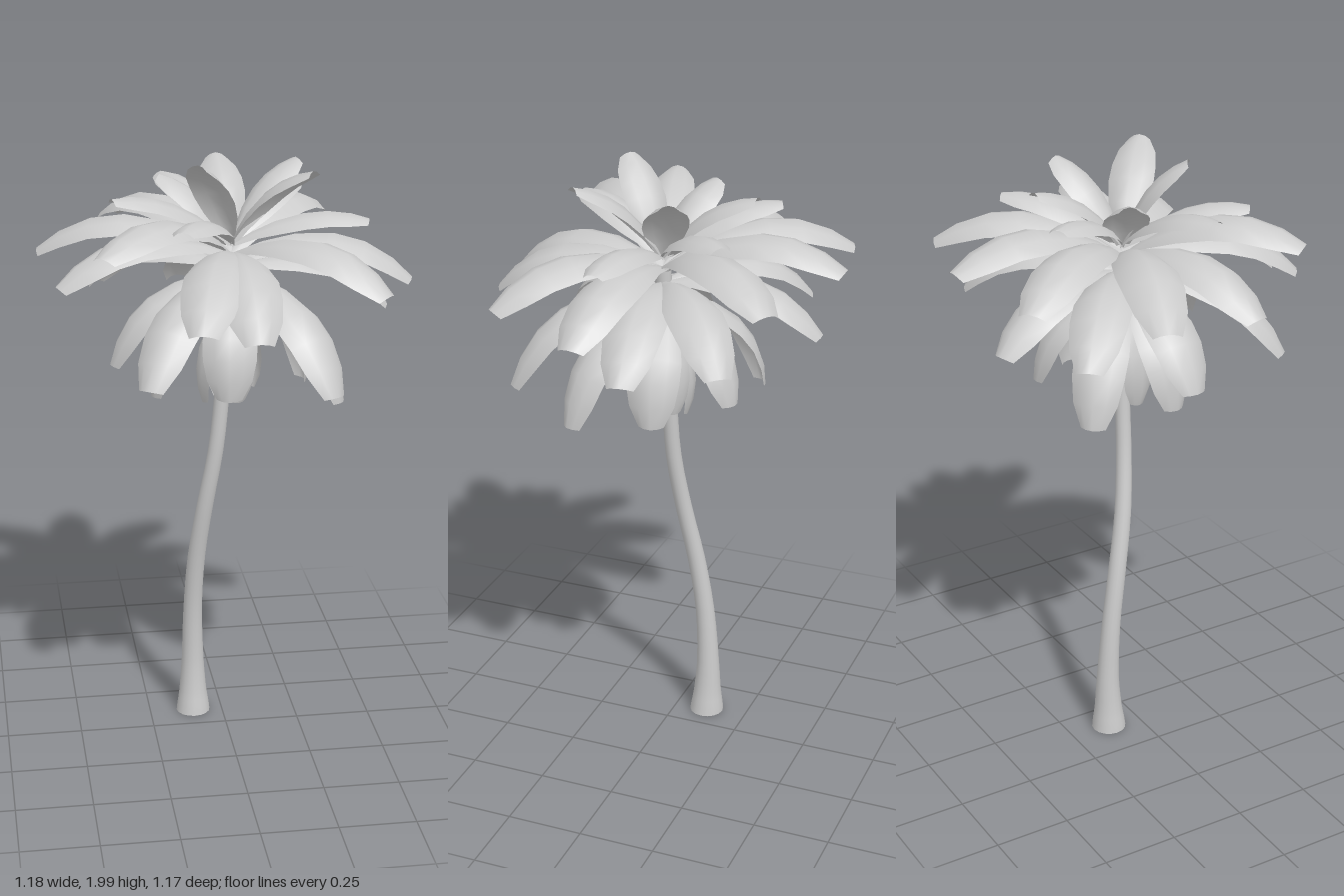
import * as THREE from 'three';

const material = new THREE.MeshStandardMaterial({ color: 0xcccccc, side: THREE.DoubleSide });

// Smooth surface through rows of points; closed rows wrap into a tube
function loft(rows, closed) {
  const n = rows[0].length;
  const index = [];
  for (let i = 0; i < rows.length - 1; i++) {
    for (let j = 0; j < (closed ? n : n - 1); j++) {
      const k = (j + 1) % n;
      const a = i * n + j, b = i * n + k, c = a + n, d = b + n;
      index.push(a, c, b, b, c, d);
    }
  }
  const geometry = new THREE.BufferGeometry().setFromPoints(rows.flat());
  geometry.setIndex(index);
  geometry.computeVertexNormals();
  return geometry;
}

// Leaning, S-curved hollow trunk with a flared foot: x, y, z and radius at each station
function makeTrunk() {
  const stations = [
    [-0.1, 0, -0.11, 0.058], [-0.1, 0.08, -0.112, 0.047], [-0.1, 0.2, -0.113, 0.038],
    [-0.1, 0.4, -0.1, 0.032], [-0.09, 0.6, -0.07, 0.03], [-0.065, 0.8, -0.033, 0.028],
    [-0.032, 1, -0.01, 0.026], [-0.012, 1.2, -0.004, 0.025], [0, 1.45, 0, 0.026],
    [0.015, 1.66, 0.01, 0.028],
  ];
  const sides = 16, steps = 27;
  const path = new THREE.CatmullRomCurve3(stations.map(([x, y, z]) => new THREE.Vector3(x, y, z)));
  const radii = new THREE.SplineCurve(stations.map((s, i) => new THREE.Vector2(i, s[3])));
  const rows = Array.from({ length: steps + 1 }, (_, i) => {
    const centre = path.getPoint(i / steps);
    const r = radii.getPoint(i / steps).y;
    return Array.from({ length: sides }, (_, j) => {
      const a = (j / sides) * Math.PI * 2;
      return centre.clone().add(new THREE.Vector3(r * Math.cos(a), 0, r * Math.sin(a)));
    });
  });
  const trunk = new THREE.Mesh(loft(rows, true), material);
  trunk.name = 'trunk';
  return trunk;
}

// Blade outline: position along the frond and share of the full width
const profile = [[0, 0.2], [0.14, 0.5], [0.3, 0.84], [0.5, 1], [0.68, 0.97], [0.86, 0.82], [1, 0.46]];

// Arched, blunt-tipped leaf blade bowed outward between the crown and its tip
function makeFrond([x, y, z], { start, bow, width }) {
  const from = new THREE.Vector3(0.015, start, 0.01);
  const tip = new THREE.Vector3(x, y, z);
  const chord = tip.clone().sub(from);
  const out = chord.clone().setY(0).normalize();
  const side = new THREE.Vector3(0, 1, 0).cross(out);
  const bend = from.clone().lerp(tip, 0.58).addScaledVector(chord.clone().cross(side), bow);
  const path = new THREE.QuadraticBezierCurve3(from, bend, tip);
  const rows = profile.map(([t, w]) => {
    const centre = path.getPoint(t);
    const up = path.getTangent(t).cross(side);
    const half = (w * width) / 2;
    return [-1, -0.55, 0, 0.55, 1].map((s) => centre.clone()
      .addScaledVector(side, s * half)
      .addScaledVector(up, -0.5 * half * s * s));
  });
  return new THREE.Mesh(loft(rows, false), material);
}

// Frond layers from the crown down, with the tip position of each frond
const layers = [
  { name: 'upperFrond', start: 1.7, bow: 0.25, width: 0.145, tips: [
    [0.01, 1.93, -0.3], [-0.17, 1.87, -0.32], [-0.2, 1.91, -0.09], [-0.37, 1.88, 0.11],
    [-0.11, 1.99, 0.17], [-0.18, 1.83, 0.36], [0.27, 1.85, -0.28], [0.24, 1.95, -0.1],
    [0.45, 1.78, 0.06], [0.24, 1.97, 0.21]] },
  { name: 'middleFrond', start: 1.67, bow: 0.37, width: 0.195, tips: [
    [0, 1.73, -0.59], [-0.34, 1.7, -0.51], [-0.59, 1.66, -0.19], [-0.55, 1.62, 0.16],
    [-0.43, 1.77, 0.4], [-0.15, 1.57, 0.57], [0.02, 1.54, 0.58], [0.45, 1.62, 0.4],
    [0.59, 1.59, 0.08], [0.38, 1.7, -0.47]] },
  { name: 'lowerFrond', start: 1.62, bow: 0.38, width: 0.185, tips: [
    [-0.1, 1.47, -0.49], [-0.4, 1.5, -0.35], [0.43, 1.5, -0.34], [0.54, 1.47, -0.06],
    [0.29, 1.31, 0.42], [-0.3, 1.36, 0.43], [-0.38, 1.33, 0.05]] },
  { name: 'droopingFrond', start: 1.59, bow: 0.38, width: 0.175, tips: [
    [0.35, 1.22, 0.2], [-0.24, 1.22, -0.25], [-0.02, 1.24, 0.22], [0.27, 1.22, -0.05],
    [0.1, 1.27, -0.27], [-0.25, 1.22, 0.06]] },
  { name: 'hangingFrond', start: 1.54, bow: 0.3, width: 0.12, tips: [
    [0.09, 1.2, -0.06], [0.03, 1.19, 0.08], [-0.08, 1.18, 0.02], [-0.01, 1.17, -0.07]] },
];

export function createModel() {
  const model = new THREE.Group();
  model.name = 'palmTree';
  model.add(makeTrunk());

  const crown = new THREE.Group();
  crown.name = 'crown';
  for (const layer of layers) {
    layer.tips.forEach((tip, i) => {
      const frond = makeFrond(tip, layer);
      frond.name = `${layer.name}${i + 1}`;
      crown.add(frond);
    });
  }
  model.add(crown);
  return model;
}
